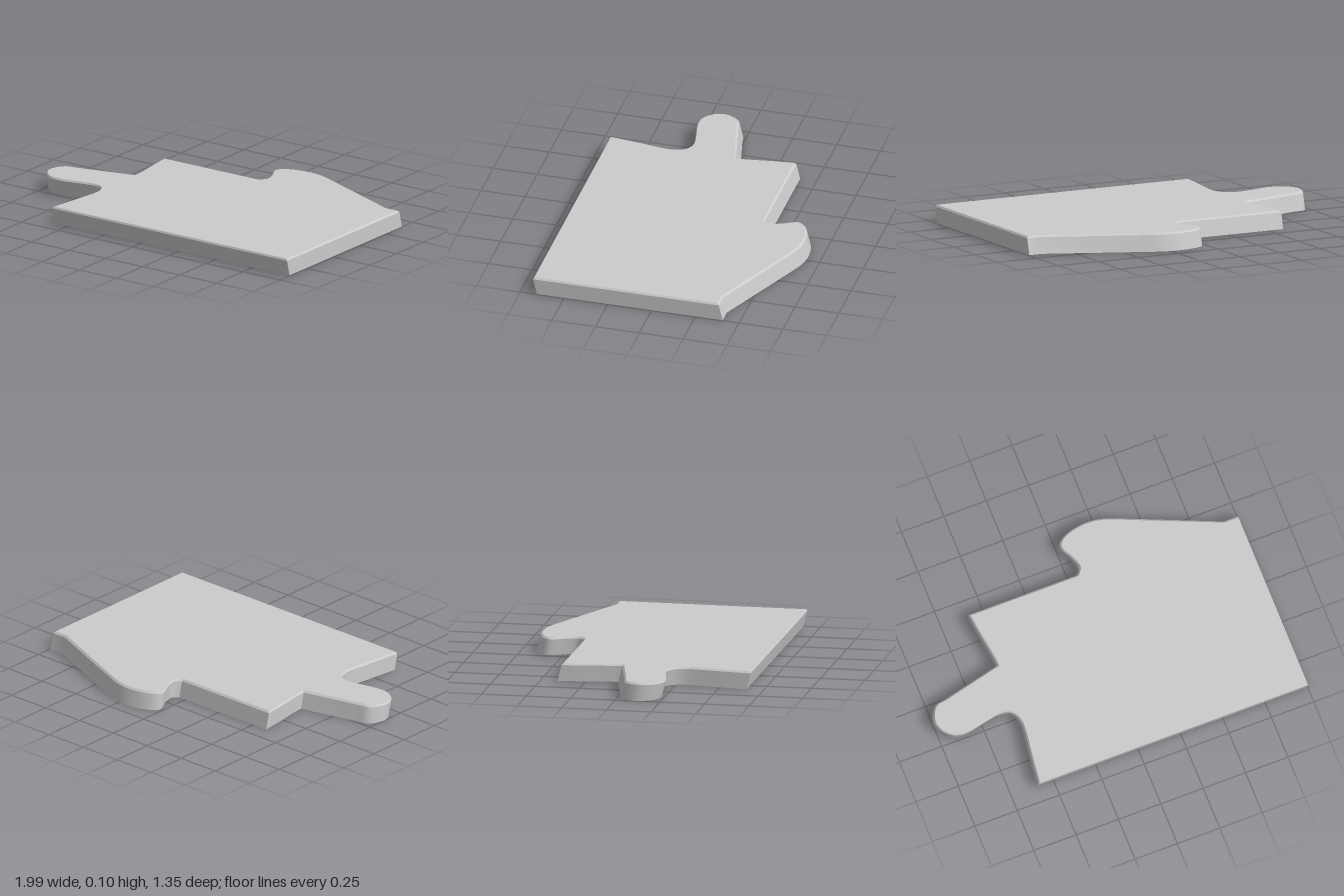
import * as THREE from 'three';
import { toCreasedNormals } from 'three/addons/utils/BufferGeometryUtils.js';

const HEIGHT = 0.1, CHAMFER = 0.01, INSET = 0.008, LEAN = 0.25;

// Footprint points are given as [x, z]; the shape's y is -z.
const pts = (list) => list.map(([x, z]) => new THREE.Vector2(x, -z));

function footprint() {
  const s = new THREE.Shape();
  s.moveTo(-0.595, -0.655);
  // front and right edges
  s.lineTo(0.995, -0.655);
  s.lineTo(0.995, 0.405);
  s.lineTo(0.91, 0.405);
  // back tab: straight slope, rounded head, narrow neck
  s.lineTo(0.37, 0.635);
  s.splineThru(pts([[0.29, -0.664], [0.2, -0.675], [0.1, -0.66], [0.035, -0.625],
    [0.02, -0.58], [0.055, -0.51], [0.073, -0.445], [0.045, -0.405]]));
  // back edge and left edge down to the side tab
  s.lineTo(-0.595, 0.405);
  s.splineThru(pts([[-0.582, -0.29], [-0.56, -0.14], [-0.555, -0.073]]));
  // side tab: straight upper edge, rounded head, hooked neck
  s.lineTo(-0.89, -0.007);
  s.splineThru(pts([[-0.96, 0.025], [-0.998, 0.1], [-0.985, 0.165], [-0.93, 0.22], [-0.85, 0.232],
    [-0.74, 0.21], [-0.65, 0.195], [-0.59, 0.21], [-0.557, 0.265], [-0.555, 0.34],
    [-0.573, 0.47], [-0.595, 0.655]]));
  return s;
}

export function createModel() {
  let geo = new THREE.ExtrudeGeometry(footprint(), {
    depth: HEIGHT - CHAMFER, curveSegments: 3,
    bevelEnabled: true, bevelSegments: 1, bevelThickness: CHAMFER,
    bevelSize: INSET, bevelOffset: -INSET,
  });
  geo.rotateX(-Math.PI / 2);

  // Flatten the lower chamfer, then lean the walls towards the front
  const p = geo.attributes.position;
  for (let i = 0; i < p.count; i++) {
    const y = Math.max(0, p.getY(i));
    p.setY(i, y);
    p.setZ(i, p.getZ(i) + y * LEAN);
  }
  geo = toCreasedNormals(geo, 0.5);

  const piece = new THREE.Mesh(geo, new THREE.MeshStandardMaterial({ color: 0xcccccc }));
  piece.name = 'puzzlePiece';
  const group = new THREE.Group();
  group.name = 'jigsawPiece';
  group.add(piece);
  return group;
}
